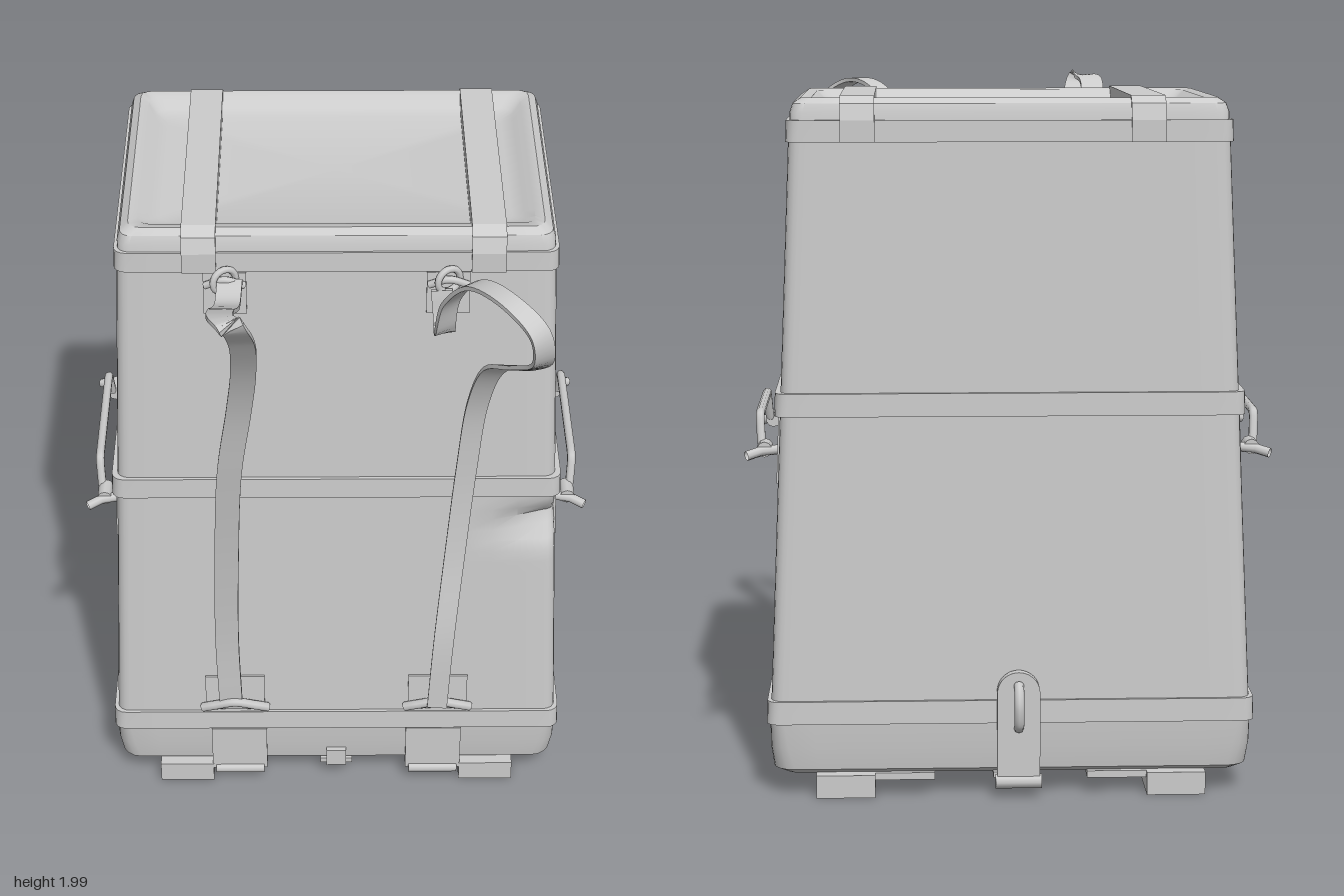
import * as THREE from 'three';
import { toCreasedNormals } from 'three/addons/utils/BufferGeometryUtils.js';

const mat = new THREE.MeshStandardMaterial({ color: 0xcccccc });
const thin = new THREE.MeshStandardMaterial({ color: 0xcccccc, side: THREE.DoubleSide });
const V = (x, y, z) => new THREE.Vector3(x, y, z);

function add(parent, name, geometry, material = mat) {
  const mesh = new THREE.Mesh(geometry, material);
  mesh.name = name;
  parent.add(mesh);
  return mesh;
}

function box(parent, name, w, h, d, x, y, z) {
  const mesh = add(parent, name, new THREE.BoxGeometry(w, h, d));
  mesh.position.set(x, y, z);
  return mesh;
}

function tube(parent, name, pts, r, tension = 0.15) {
  const curve = new THREE.CatmullRomCurve3(pts.map(p => V(...p)), false, 'catmullrom', tension);
  return add(parent, name, new THREE.TubeGeometry(curve, 48, r, 8), thin);
}

// Quad grid from rows of points, with sharp edges kept
function skin(rows, closed) {
  const n = rows[0].length, index = [];
  for (let j = 0; j < rows.length - 1; j++)
    for (let i = 0; i < (closed ? n : n - 1); i++) {
      const a = j * n + i, b = j * n + (i + 1) % n;
      index.push(a, a + n, b, b, a + n, b + n);
    }
  const g = new THREE.BufferGeometry().setFromPoints(rows.flat());
  g.setIndex(index);
  return toCreasedNormals(g, 0.6);
}

// Rounded rectangle, with the straight sides subdivided
function ring(y, hx, hz, r = 0.035) {
  r = Math.min(r, hx, hz);
  const pts = [], corner = [];
  [[1, 1], [-1, 1], [-1, -1], [1, -1]].forEach(([sx, sz], q) => {
    for (let i = 0; i <= 4; i++) {
      const a = (q + i / 4) * Math.PI / 2;
      corner.push(V(sx * (hx - r) + r * Math.cos(a), y, sz * (hz - r) + r * Math.sin(a)));
    }
  });
  corner.forEach((p, i) => {
    pts.push(p);
    if (i % 5 === 4)
      for (let k = 1; k < 16; k++) pts.push(p.clone().lerp(corner[(i + 1) % 20], k / 16));
  });
  return pts;
}

const loft = levels => skin(levels.map(l => ring(...l)), true);

// Half sizes of the tapering wall at a height
const wallX = y => 0.672 - 0.04 * (y - 0.29);
const wallZ = y => 0.482 - 0.039 * (y - 0.29);

// Flat webbing along a path; each point is x, y, z and a width direction
function webbing(parent, name, pts, width) {
  const path = new THREE.CatmullRomCurve3(pts.map(p => V(p[0], p[1], p[2])));
  const dirs = new THREE.CatmullRomCurve3(pts.map(p => V(p[3] ?? 1, 0, p[4] ?? 0)));
  const rows = [], N = 90, t = 0.006;
  for (let i = 0; i <= N; i++) {
    const c = path.getPoint(i / N), tan = path.getTangent(i / N), w = dirs.getPoint(i / N);
    w.addScaledVector(tan, -w.dot(tan)).normalize().multiplyScalar(width / 2);
    const n = w.clone().cross(tan).setLength(t);
    rows.push([[-1, -1], [1, -1], [1, 1], [-1, 1]].map(
      ([a, b]) => c.clone().addScaledVector(w, a).addScaledVector(n, b)));
  }
  add(parent, name, skin(rows, true), thin);
}

export function createModel() {
  const model = new THREE.Group();
  const pack = new THREE.Group();
  pack.name = 'pack';
  pack.rotation.y = 0.044;
  pack.position.set(0, 0, -0.19);
  model.add(pack);

  // Tapered walls with a dent near one front edge
  const walls = [];
  for (let i = 0; i <= 44; i++) {
    const y = 0.25 + i / 44 * 1.63;
    const row = ring(y, wallX(y), wallZ(y));
    row.forEach(p => {
      if (p.z < 0.2) return;
      p.z -= 0.06 * Math.exp(-(((p.x - 0.62) / 0.11) ** 2) - ((y - 0.98) / 0.05) ** 2);
    });
    walls.push(row);
  }
  add(pack, 'walls', skin(walls, true));

  // Base with softened lower edge
  add(pack, 'base', loft([[0.07, 0, 0], [0.07, 0.64, 0.45, 0.05], [0.085, 0.668, 0.472, 0.06],
    [0.15, 0.676, 0.482, 0.05], [0.25, 0.676, 0.486]]));

  // Lid with rounded rim and sunken panel
  add(pack, 'lid', loft([[1.86, 0.606, 0.424], [1.92, 0.605, 0.422], [1.945, 0.597, 0.413],
    [1.96, 0.575, 0.392], [1.955, 0.55, 0.365], [1.93, 0.525, 0.335], [1.92, 0.49, 0.3], [1.915, 0, 0]]));

  // Bands round the walls
  [['lowerBand', 0.22, 0.285, 0.685, 0.494], ['middleBand', 1.085, 1.15, 0.655, 0.462],
    ['lidBand', 1.84, 1.9, 0.617, 0.432]].forEach(([name, y0, y1, hx, hz]) => {
    add(pack, name, loft([[y0, hx - 0.03, hz - 0.03], [y0, hx, hz], [y1, hx - 0.002, hz - 0.002],
      [y1, hx - 0.03, hz - 0.03]]));
  });

  // Straps over the lid, folded down front and back
  const fold = new THREE.Shape([[-0.438, 1.84], [-0.438, 1.9], [-0.424, 1.945], [-0.39, 1.966], [0.39, 1.966],
    [0.424, 1.945], [0.438, 1.9], [0.438, 1.84], [0.4, 1.84], [0.4, 1.915], [-0.4, 1.915], [-0.4, 1.84]]
    .map(p => new THREE.Vector2(...p)));
  for (const x of [-0.38, 0.42]) {
    const g = new THREE.ExtrudeGeometry(fold, { depth: 0.095, bevelEnabled: false });
    g.rotateY(-Math.PI / 2);
    add(pack, 'lidStrap', g).position.x = x + 0.0475;
  }

  for (const s of [-1, 1]) {
    // Carrying handle with sockets, pegs and backing plates
    const side = new THREE.Group();
    side.name = s > 0 ? 'leftHandle' : 'rightHandle';
    pack.add(side);
    tube(side, 'handleBar', [[s * 0.69, 0.97, -0.27], [s * 0.7, 0.975, -0.25], [s * 0.705, 1.045, -0.225],
      [s * 0.705, 1.06, -0.2], [s * 0.705, 1.06, 0.2], [s * 0.705, 1.045, 0.225],
      [s * 0.7, 0.975, 0.25], [s * 0.69, 0.97, 0.27]], 0.013);
    for (const e of [-1, 1]) {
      const socket = add(side, 'handleSocket', new THREE.CylinderGeometry(0.022, 0.022, 0.065, 10));
      socket.rotation.x = Math.PI / 2;
      socket.position.set(s * 0.69, 0.97, e * 0.275);
      tube(side, 'handlePeg', [[s * 0.64, 0.97, e * 0.295], [s * 0.7, 0.965, e * 0.305],
        [s * 0.74, 0.955, e * 0.325]], 0.014);
      box(side, 'handlePlate', 0.012, 0.2, 0.13, s * wallX(0.985), 0.985, e * 0.31).rotation.z = s * 0.04;
    }

    // Skid and flat bottom strap, turned up the front over a roller
    box(pack, 'skid', 0.165, 0.065, 0.99, s * 0.465, 0.04, 0);
    box(pack, 'bottomStrap', 0.17, 0.02, 0.94, s * 0.3, 0.062, 0);
    box(pack, 'strapTab', 0.17, 0.16, 0.02, s * 0.3, 0.135, 0.482);
    const roller = add(pack, 'strapRoller', new THREE.CylinderGeometry(0.018, 0.018, 0.15, 10));
    roller.rotation.z = Math.PI / 2;
    roller.position.set(s * 0.3, 0.052, 0.485);

    // Plates and rings that hold the shoulder straps
    const x = s * 0.31;
    box(pack, 'lowerPlate', 0.18, 0.19, 0.014, x, 0.325, wallZ(0.325)).rotation.x = -0.04;
    box(pack, 'upperPlate', 0.12, 0.13, 0.014, x, 1.77, wallZ(1.77)).rotation.x = -0.04;
    tube(pack, 'lowerRing', [[x - 0.1, 0.305, 0.492], [x - 0.06, 0.325, 0.505], [x, 0.345, 0.515],
      [x + 0.06, 0.325, 0.505], [x + 0.1, 0.305, 0.492]], 0.014, 0.5);
    tube(pack, 'lowerRingBar', [[x - 0.1, 0.305, 0.492], [x, 0.315, 0.495], [x + 0.1, 0.305, 0.492]], 0.01, 0.5);
    const upper = add(pack, 'upperRing', new THREE.TorusGeometry(0.035, 0.01, 8, 20));
    upper.position.set(x, 1.82, 0.445);
    upper.rotation.y = 0.5;
    tube(pack, 'upperRingBar', [[x - 0.055, 1.8, 0.437], [x, 1.825, 0.45], [x + 0.055, 1.8, 0.437]], 0.011, 0.5);
  }

  // Centre slat with front clip, and handle under the floor
  box(pack, 'centreSlat', 0.1, 0.016, 0.94, 0, 0.064, 0);
  box(pack, 'frontClip', 0.06, 0.06, 0.03, 0, 0.095, 0.478);
  tube(pack, 'bottomHandle', [[-0.2, 0.06, 0.06], [-0.2, 0.035, 0.05], [-0.17, 0.035, 0], [-0.14, 0.035, -0.03],
    [0.14, 0.035, -0.03], [0.17, 0.035, 0], [0.2, 0.035, 0.05], [0.2, 0.06, 0.06]], 0.012);
  for (const s of [-1, 1]) {
    const post = add(pack, 'bottomHandlePost', new THREE.CylinderGeometry(0.014, 0.014, 0.06, 8));
    post.position.set(s * 0.2, 0.045, 0.06);
  }

  // Round-topped clasp at the back
  const plate = new THREE.Shape();
  plate.moveTo(-0.06, 0.05);
  plate.lineTo(0.06, 0.05);
  plate.lineTo(0.06, 0.31);
  plate.absarc(0, 0.31, 0.06, 0, Math.PI, false);
  const clasp = new THREE.Group();
  clasp.name = 'backClasp';
  clasp.position.set(-0.02, 0, -0.515);
  pack.add(clasp);
  add(clasp, 'claspPlate', new THREE.ExtrudeGeometry(plate, { depth: 0.03, bevelEnabled: false }));
  tube(clasp, 'claspLoop', [[0, 0.21, 0], [0, 0.23, -0.03], [0, 0.28, -0.04], [0, 0.32, -0.025], [0, 0.335, 0]], 0.014, 0.5);
  const hinge = add(clasp, 'claspHinge', new THREE.CylinderGeometry(0.02, 0.02, 0.13, 10));
  hinge.rotation.z = Math.PI / 2;
  hinge.position.set(0, 0.055, 0.01);

  // Shoulder straps, each rising in a loop and returning to its upper ring
  webbing(model, 'rightShoulderStrap', [[-0.3, 0.34, 0.33], [-0.305, 0.6, 0.345], [-0.295, 0.95, 0.39],
    [-0.275, 1.3, 0.455], [-0.24, 1.55, 0.51], [-0.22, 1.72, 0.575], [-0.215, 1.88, 0.67], [-0.235, 1.975, 0.74],
    [-0.265, 1.975, 0.7], [-0.275, 1.92, 0.58], [-0.275, 1.85, 0.46], [-0.275, 1.805, 0.36], [-0.275, 1.82, 0.265]], 0.07);
  webbing(model, 'leftShoulderStrap', [[0.33, 0.34, 0.33], [0.345, 0.6, 0.325], [0.37, 0.9, 0.285],
    [0.395, 1.2, 0.275], [0.42, 1.45, 0.3], [0.46, 1.62, 0.38], [0.53, 1.72, 0.52], [0.58, 1.81, 0.62, 0.9, -0.4],
    [0.565, 1.91, 0.64, 0.8, -0.5], [0.49, 1.97, 0.59, 0.75, -0.6], [0.4, 1.95, 0.47, 0.75, -0.6],
    [0.335, 1.84, 0.38, 0.75, -0.6], [0.32, 1.71, 0.33, 0.85, -0.4], [0.32, 1.7, 0.28, 1, 0], [0.31, 1.8, 0.26, 1, 0]], 0.06);

  return model;
}
